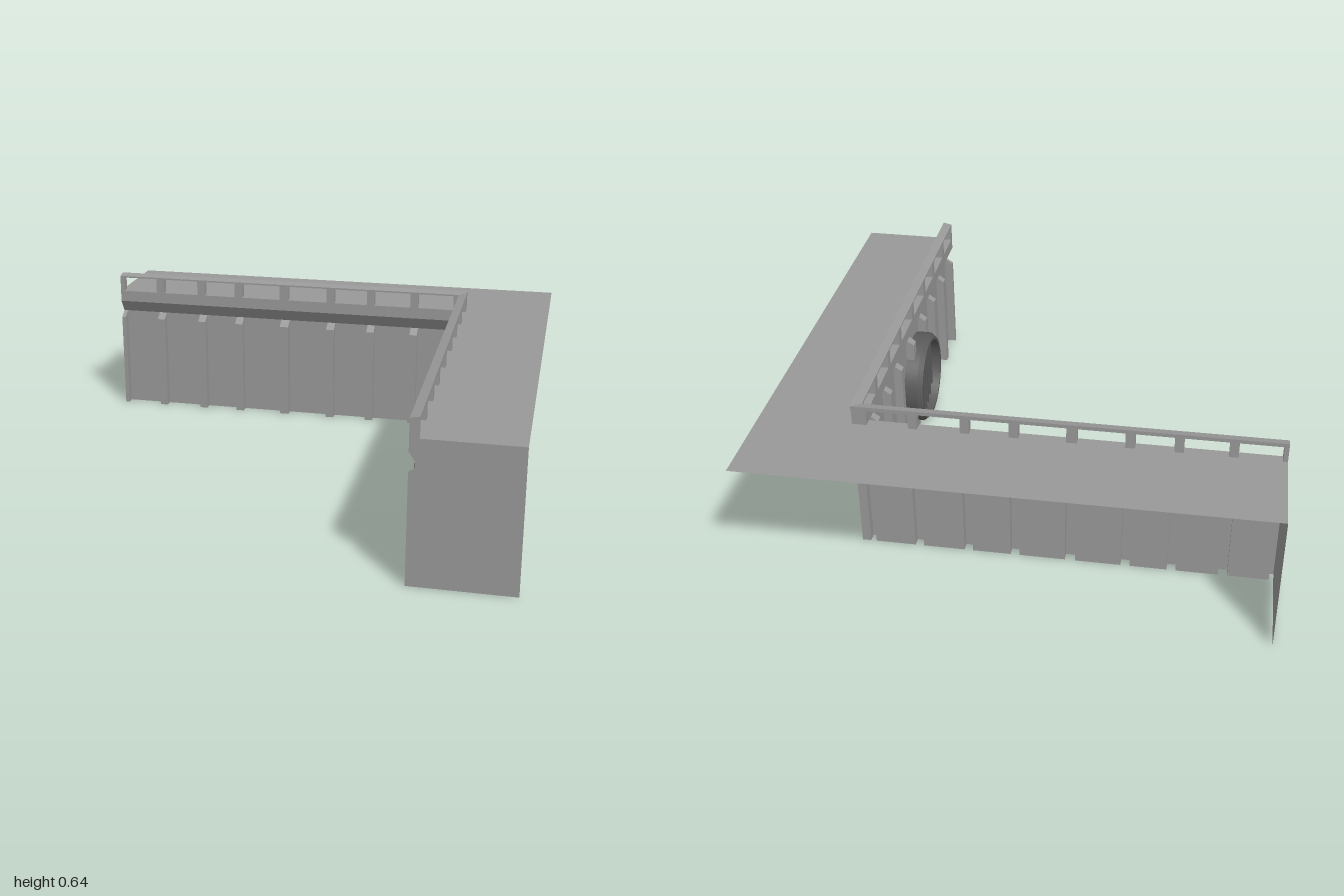
import * as THREE from 'three';

const INNER = 0.6, BACK = 0.635, END = -1, DECK = 0.56, CAP_LOW = 0.43, CAP_TOP = 0.455;
const HOLE = { t: -0.31, y: 0.2, r: 0.17 };

// Start and end of each rib and railing post along a run, measured towards the corner
const RIBS = [[-1, -0.982], [-0.822, -0.787], [-0.622, -0.587], [-0.442, -0.406], [-0.226, -0.186],
  [-0.005, 0.031], [0.183, 0.217], [0.383, 0.417], [0.578, 0.635]];

// Two mirrored runs: 0 follows x at the back, 1 follows z at the side
const place = (run, t, d, y) => (run === 0 ? [t, y, -d] : [d, y, -t]);

export function createModel() {
  const concrete = new THREE.MeshStandardMaterial({ color: 0x999999, side: THREE.DoubleSide });
  concrete.name = 'concrete';
  const darkMetal = new THREE.MeshStandardMaterial({ color: 0x5a5a5a, side: THREE.DoubleSide });
  darkMetal.name = 'darkMetal';
  const group = new THREE.Group();
  group.name = 'quayCorner';

  const add = (name, geometry, material = concrete) => {
    const mesh = new THREE.Mesh(geometry, material);
    mesh.name = name;
    group.add(mesh);
    return mesh;
  };
  const quadGeometry = (quads) => {
    const positions = [];
    for (const [a, b, c, d] of quads) positions.push(...a, ...b, ...c, ...a, ...c, ...d);
    const g = new THREE.BufferGeometry();
    g.setAttribute('position', new THREE.Float32BufferAttribute(positions, 3));
    g.computeVertexNormals();
    return g;
  };

  // Sweep a (d, y) profile around the mitred corner
  const sweep = (profile, closed) => {
    const quads = [];
    const n = profile.length;
    const stations = ([d, y]) => [[END, y, -d], [d, y, -d], [d, y, 1]];
    for (let i = 0; i < (closed ? n : n - 1); i++) {
      const a = stations(profile[i]), b = stations(profile[(i + 1) % n]);
      for (let k = 0; k < 2; k++) quads.push([a[k], a[k + 1], b[k + 1], b[k]]);
    }
    if (closed) for (const k of [0, 2]) quads.push(profile.map((p) => stations(p)[k]));
    return quadGeometry(quads);
  };

  // Deck with its undercut lip
  add('deck', sweep([[1, DECK], [INNER, DECK]], false));
  add('deckLip', sweep([[INNER, DECK], [INNER, 0.51], [BACK, CAP_TOP]], false));
  add('handrail', sweep([[INNER, 0.625], [INNER, 0.632], [0.637, 0.64], [0.637, 0.625]], true));

  // Wall sheet folded forward into ribs, with the round outlet cut from run 1
  const wall = (run) => {
    const quads = [];
    const P = (t, d, y) => place(run, t, d, y);
    const cut = (t) => (run === 0 ? 0 : Math.sqrt(Math.max(0, HOLE.r ** 2 - (t - HOLE.t) ** 2)));
    const strip = (a, b, d, top) => {
      const steps = run === 1 && b > HOLE.t - HOLE.r && a < HOLE.t + HOLE.r ? 14 : 1;
      for (let i = 0; i < steps; i++) {
        const t0 = a + (b - a) * i / steps, t1 = a + (b - a) * (i + 1) / steps;
        const h0 = cut(t0), h1 = cut(t1);
        quads.push([P(t0, d, 0), P(t1, d, 0), P(t1, d, HOLE.y - h1), P(t0, d, HOLE.y - h0)]);
        quads.push([P(t0, d, HOLE.y + h0), P(t1, d, HOLE.y + h1), P(t1, d, top), P(t0, d, top)]);
      }
    };
    RIBS.forEach(([a, b], i) => {
      strip(a, b, INNER, CAP_LOW);
      quads.push([P(a, INNER, CAP_LOW), P(b, INNER, CAP_LOW), P(b, BACK, CAP_TOP), P(a, BACK, CAP_TOP)]);
      for (const t of [a, b]) {
        const h = cut(t);
        quads.push([P(t, INNER, 0), P(t, BACK, 0), P(t, BACK, HOLE.y - h), P(t, INNER, HOLE.y - h)]);
        quads.push([P(t, INNER, HOLE.y + h), P(t, BACK, HOLE.y + h), P(t, BACK, CAP_TOP), P(t, INNER, CAP_LOW)]);
      }
      if (i < RIBS.length - 1) strip(b, RIBS[i + 1][0], BACK, CAP_TOP);
    });
    return quadGeometry(quads);
  };

  // End face outline, notched under the lip
  const endShape = new THREE.Shape([[1, 0], [1, DECK], [INNER, DECK], [INNER, 0.51], [BACK, CAP_TOP],
    [INNER, CAP_LOW], [INNER, 0]].map(([x, y]) => new THREE.Vector2(x, y)));

  for (const run of [0, 1]) {
    const side = run === 0 ? 'back' : 'side';
    add(side + 'RibbedWall', wall(run));

    // Railing posts
    for (const [a, b] of RIBS) {
      const w = b - a, depth = BACK - INNER, h = 0.625 - DECK;
      const box = run === 0 ? new THREE.BoxGeometry(w, h, depth) : new THREE.BoxGeometry(depth, h, w);
      const post = add(side + 'RailingPost', box);
      post.position.set(...place(run, (a + b) / 2, (INNER + BACK) / 2, DECK + h / 2));
    }

    const end = add(side + 'EndFace', new THREE.ShapeGeometry(endShape));
    if (run === 0) {
      end.rotation.y = Math.PI / 2;
      end.position.x = END;
    } else {
      end.position.z = 1;
    }
  }

  // Outlet pipe, closed at its far end; lathe axis is turned to +x
  const outlet = new THREE.Group();
  outlet.name = 'outlet';
  outlet.position.set(0, HOLE.y, -HOLE.t);
  group.add(outlet);
  const lathe = (name, points) => {
    const flat = points.map(([r, x]) => new THREE.Vector2(r, x));
    // Separate bands keep the rims sharp
    for (let i = 0; i < flat.length - 1; i++) {
      const mesh = add(name, new THREE.LatheGeometry([flat[i], flat[i + 1]], 40), darkMetal);
      mesh.rotation.z = -Math.PI / 2;
      outlet.add(mesh);
    }
  };
  lathe('pipe', [[HOLE.r, 0.6], [HOLE.r, 0.88], [0, 0.88]]);
  lathe('flange', [[HOLE.r, 0.635], [HOLE.r, 0.557], [0.182, 0.557], [0.2, 0.578], [0.2, 0.635]]);

  // Vertical grate bars across the opening
  for (let i = -3; i <= 3; i++) {
    const z = i * 0.042;
    const bar = add('grateBar', new THREE.BoxGeometry(0.012, 2 * Math.sqrt(HOLE.r ** 2 - z * z), 0.012), darkMetal);
    bar.position.set(0.595, 0, z);
    outlet.add(bar);
  }
  return group;
}
